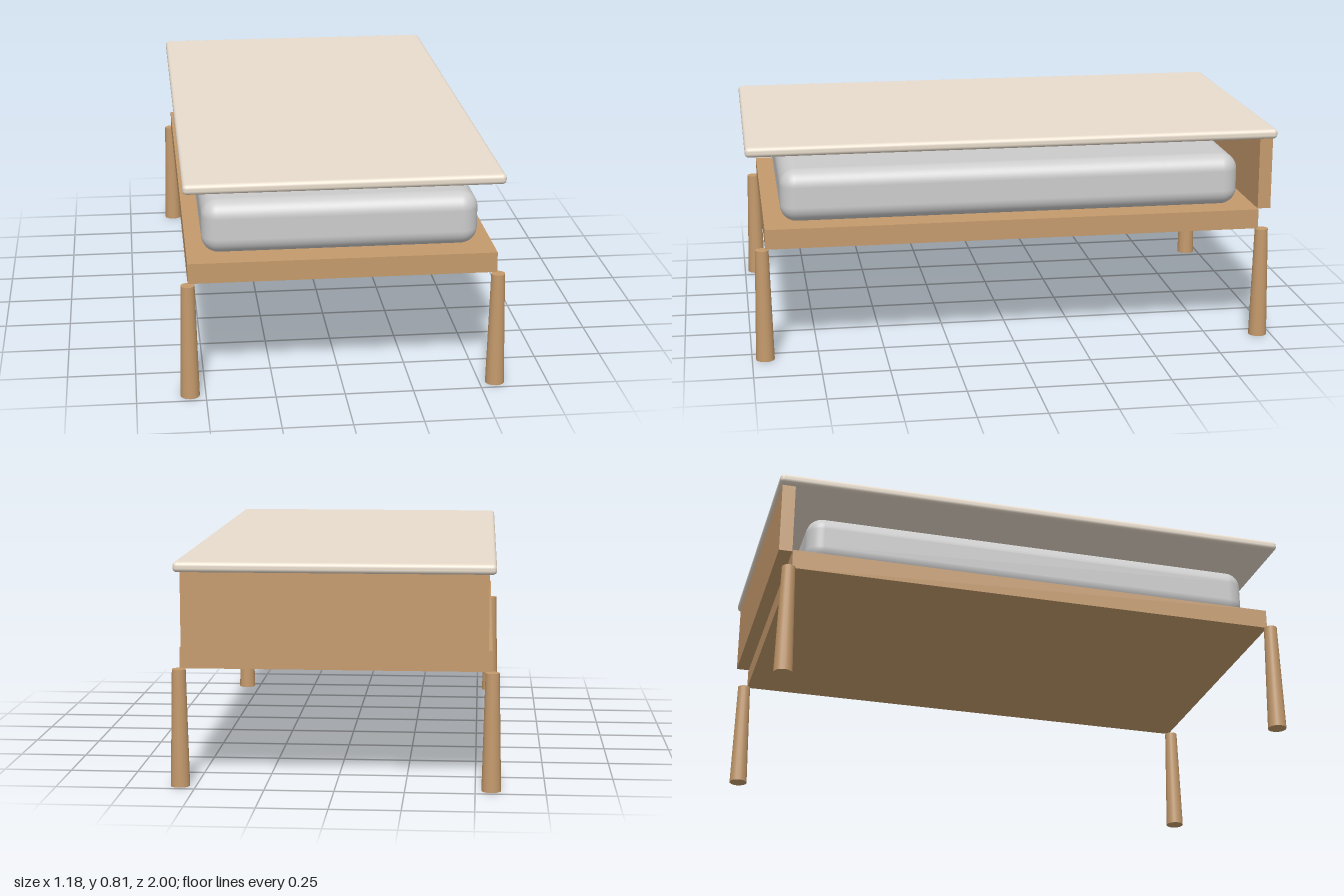
import * as THREE from 'three';
import { RoundedBoxGeometry } from 'three/addons/geometries/RoundedBoxGeometry.js';

const wood = new THREE.MeshStandardMaterial({ color: 0xc49a6c });
const cream = new THREE.MeshStandardMaterial({ color: 0xe8dccc });
const grey = new THREE.MeshStandardMaterial({ color: 0xcccccc });

export function createModel() {
  const group = new THREE.Group();
  const add = (name, geometry, material, x, y, z) => {
    const mesh = new THREE.Mesh(geometry, material);
    mesh.name = name;
    mesh.position.set(x, y, z);
    group.add(mesh);
  };

  // Base platform and upright panel at the back
  add('basePlatform', new THREE.BoxGeometry(1.112, 0.075, 1.876), wood, 0, 0.4635, 0);
  add('backPanel', new THREE.BoxGeometry(1.086, 0.277, 0.05), wood, 0, 0.6395, -0.963);

  // Soft cushion resting on the platform
  add('cushion', new RoundedBoxGeometry(1.0, 0.2, 1.752, 6, 0.062), grey, 0, 0.601, 0);

  // Thin rounded top board
  add('topBoard', new RoundedBoxGeometry(1.136, 0.037, 2, 4, 0.015), cream, 0, 0.796, 0);

  // Four legs, wider at the foot
  const legGeometry = new THREE.CylinderGeometry(0.025, 0.035, 0.426, 16);
  for (const [side, x] of [['Left', 0.557], ['Right', -0.557]]) {
    for (const [end, z] of [['front', 0.951], ['back', -0.951]]) {
      add(`${end}${side}Leg`, legGeometry, wood, x, 0.213, z);
    }
  }
  return group;
}
